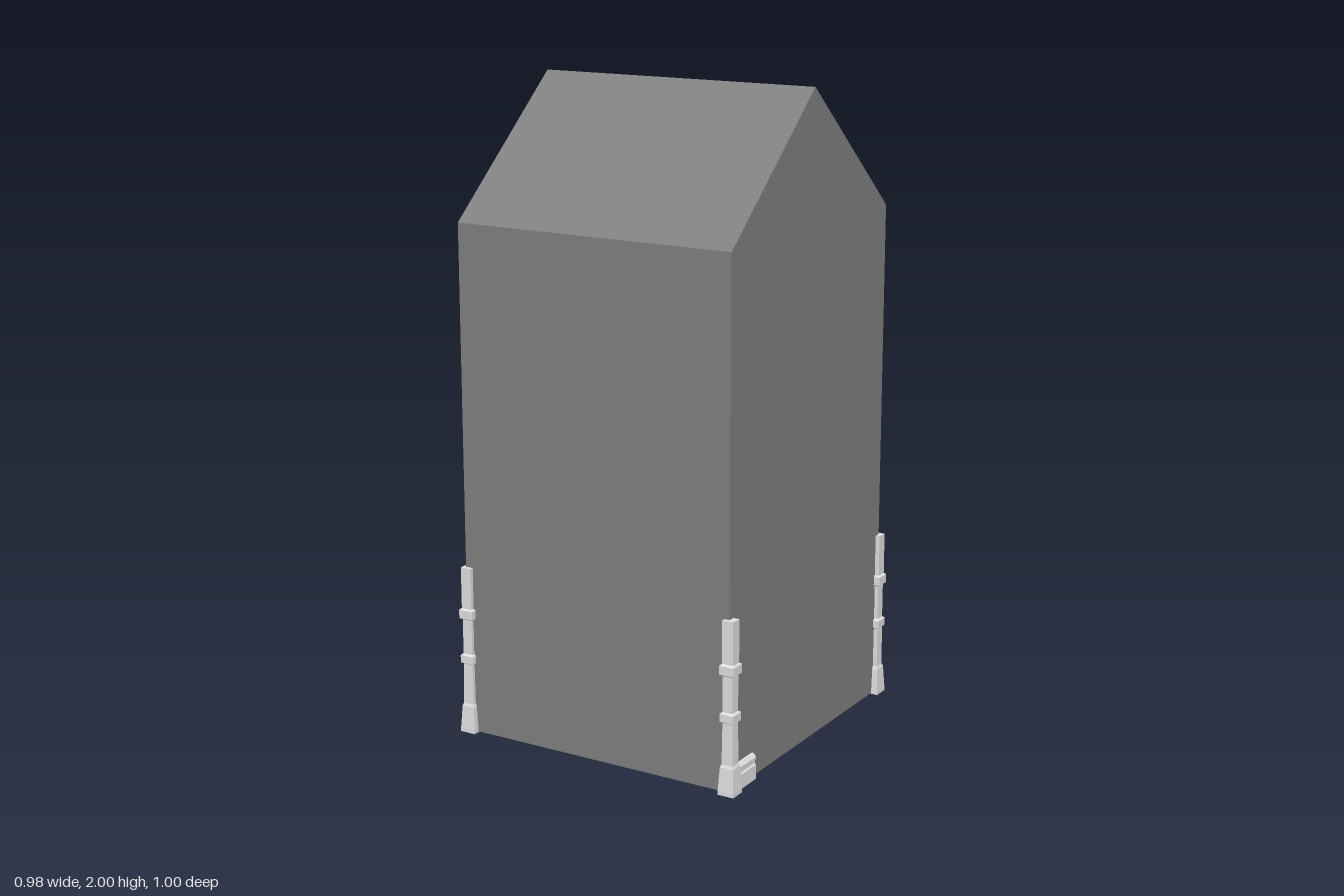
import * as THREE from 'three';

export function createModel() {
  const group = new THREE.Group();
  const wallGrey = new THREE.MeshStandardMaterial({ color: 0x808080 });
  wallGrey.name = 'wallGrey';
  const trimGrey = new THREE.MeshStandardMaterial({ color: 0xe0e0e0 });
  trimGrey.name = 'trimGrey';

  const add = (name, geometry, material, x, y, z) => {
    const mesh = new THREE.Mesh(geometry, material);
    mesh.name = name;
    mesh.position.set(x, y, z);
    group.add(mesh);
  };
  const toShape = (points) => new THREE.Shape(points.map(([x, y]) => new THREE.Vector2(x, y)));

  // Gabled body: the gable outline runs along x
  const gable = toShape([[-0.475, 0.003], [0.475, 0.003], [0.475, 1.595], [0, 2], [-0.475, 1.595]]);
  const body = new THREE.ExtrudeGeometry(gable, { depth: 0.928, bevelEnabled: false });
  body.rotateY(-Math.PI / 2);
  add('gabledBody', body, wallGrey, 0.459, 0, 0);

  // Square corner post with flared foot and two raised bands: [half width, height]
  const profile = [
    [0, 0], [0.026, 0], [0.026, 0.012], [0.0215, 0.085], [0.018, 0.093],
    [0.0165, 0.222], [0.023, 0.226], [0.023, 0.25], [0.0165, 0.255],
    [0.0165, 0.365], [0.024, 0.37], [0.024, 0.397], [0.018, 0.402],
    [0.018, 0.533], [0, 0.533],
  ].map(([half, y]) => new THREE.Vector2(half * Math.SQRT2, y));
  const post = new THREE.LatheGeometry(profile, 4, Math.PI / 4).toNonIndexed();
  post.computeVertexNormals();
  const corners = {
    frontLeftPost: [0.461, 0.471],
    frontRightPost: [-0.462, 0.469],
    backLeftPost: [0.455, -0.472],
    backRightPost: [-0.462, -0.473],
  };
  for (const [name, [x, z]] of Object.entries(corners)) add(name, post, trimGrey, x, 0, z);

  // Short moulded skirting beside the front left post
  const moulding = toShape([
    [0, 0], [0.015, 0], [0.015, 0.045], [0.011, 0.05], [0.011, 0.058],
    [0.015, 0.062], [0.015, 0.07], [0.007, 0.08], [0, 0.08],
  ]);
  const skirting = new THREE.ExtrudeGeometry(moulding, { depth: 0.115, bevelEnabled: false });
  add('skirting', skirting, trimGrey, 0.459, 0, 0.34);

  return group;
}
